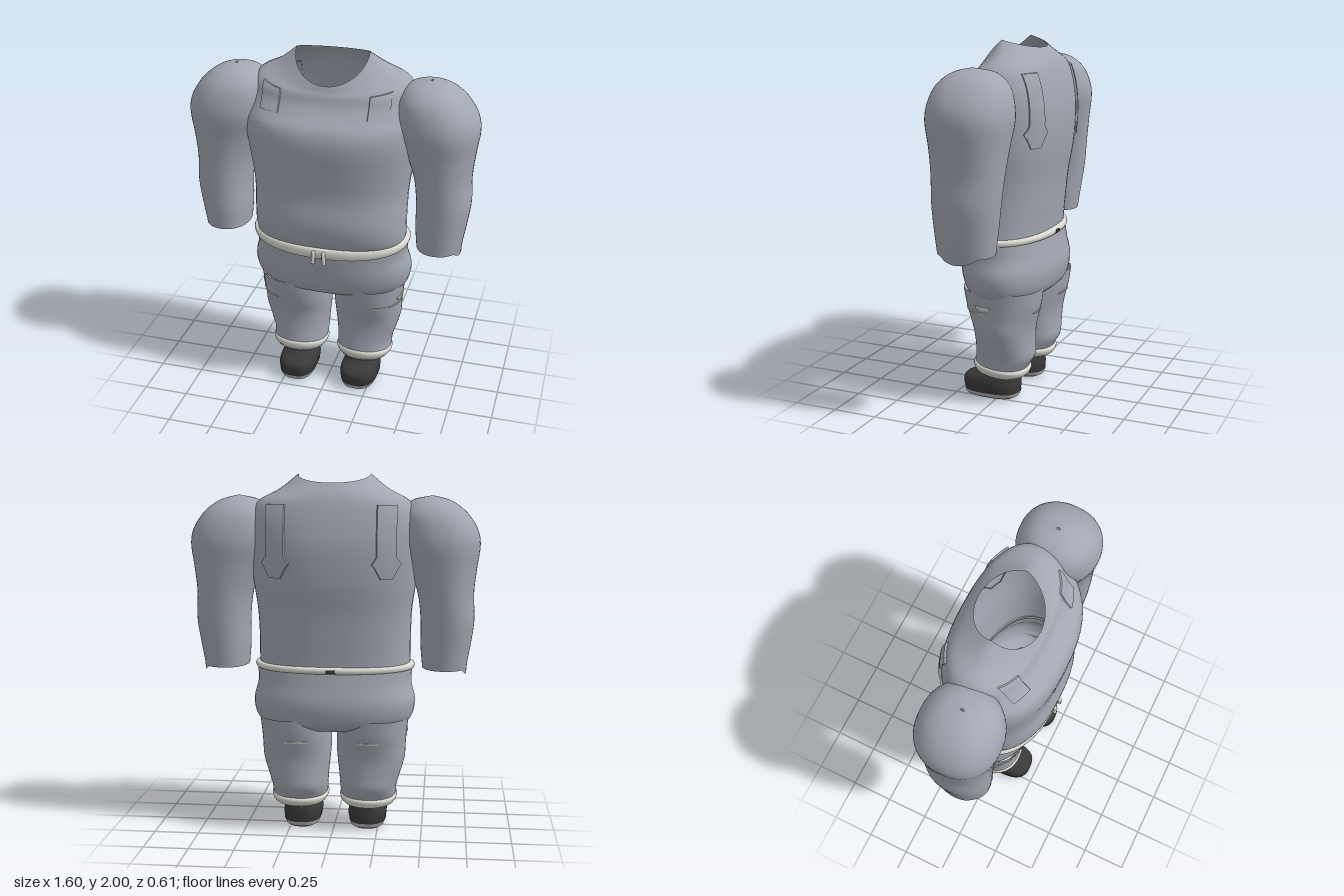
import * as THREE from 'three';
import { toCreasedNormals } from 'three/addons/utils/BufferGeometryUtils.js';

const paint = (name, color) => {
  const m = new THREE.MeshStandardMaterial({ color, side: THREE.DoubleSide });
  m.name = name;
  return m;
};

// Cross-section key: [y, xMin, xMax, zBack, zFront, roundness, frontDrop, backDrop]
const key = (y, x0, x1, z0, z1, n = 2.2, df = 0, db = 0) => [y, x0, x1, z0, z1, n, df, db];
const wide = (y, rx, ...rest) => key(y, -rx, rx, ...rest);
const mirrorKeys = (keys) => keys.map(([y, a, b, ...r]) => [y, -b, -a, ...r]);

// Smoothly interpolated cross-section at height y
function sectionAt(keys, y) {
  let i = 0;
  while (i < keys.length - 2 && y > keys[i + 1][0]) i++;
  const a = keys[i], b = keys[i + 1], p = keys[Math.max(i - 1, 0)], q = keys[Math.min(i + 2, keys.length - 1)];
  const h = b[0] - a[0], t = (y - a[0]) / h, t2 = t * t, t3 = t2 * t;
  return a.map((v, k) => {
    if (k === 0) return y;
    const ma = (b[k] - p[k]) / (b[0] - p[0]) * h, mb = (q[k] - v) / (q[0] - a[0]) * h;
    return (2 * t3 - 3 * t2 + 1) * v + (t3 - 2 * t2 + t) * ma + (3 * t2 - 2 * t3) * b[k] + (t3 - t2) * mb;
  });
}

// Point on the superellipse section at angle th, pushed out by off
function pointOn([y, x0, x1, z0, z1, n, df, db], th, off = 0) {
  const c = Math.cos(th), s = Math.sin(th);
  const pow = (v) => Math.sign(v) * Math.abs(v) ** (2 / n);
  return [
    (x0 + x1) / 2 + (x1 - x0) / 2 * pow(c) + off * c,
    y - (s > 0 ? df : db) * Math.abs(s),
    (z0 + z1) / 2 + (z1 - z0) / 2 * pow(s) + off * s,
  ];
}

function toGeometry(pos, index) {
  const g = new THREE.BufferGeometry();
  g.setAttribute('position', new THREE.Float32BufferAttribute(pos, 3));
  g.setIndex(index);
  g.computeVertexNormals();
  return g;
}

// Skin through stacked cross-sections
function loft(keys, div = 4, seg = 48) {
  const pos = [], index = [], rows = (keys.length - 1) * div;
  for (let i = 0; i <= rows; i++) {
    const k = Math.min(Math.floor(i / div), keys.length - 2);
    const y = keys[k][0] + (keys[k + 1][0] - keys[k][0]) * (i / div - k);
    const s = sectionAt(keys, y);
    for (let j = 0; j < seg; j++) pos.push(...pointOn(s, j / seg * Math.PI * 2));
  }
  for (let i = 0; i < rows; i++) for (let j = 0; j < seg; j++) {
    const a = i * seg + j, b = i * seg + (j + 1) % seg;
    index.push(a, a + seg, b, b, a + seg, b + seg);
  }
  return toGeometry(pos, index);
}

// Raised panel lying on a lofted surface; f(u, v) gives [angle, y]
function panel(keys, f, off = 0.008, nu = 10, nv = 12) {
  const pos = [], index = [];
  for (let i = 0; i <= nv; i++) for (let j = 0; j <= nu; j++) {
    const edge = i === 0 || j === 0 || i === nv || j === nu;
    const u = (Math.min(Math.max(j, 1), nu - 1) - 1) / (nu - 2);
    const v = (Math.min(Math.max(i, 1), nv - 1) - 1) / (nv - 2);
    const [th, y] = f(u, v);
    pos.push(...pointOn(sectionAt(keys, y), th, edge ? -0.006 : off));
    if (i < nv && j < nu) {
      const a = i * (nu + 1) + j, c = a + nu + 1;
      index.push(a, c, a + 1, a + 1, c, c + 1);
    }
  }
  return toCreasedNormals(toGeometry(pos, index), 0.7);
}

// Angle on a section where it reaches a given x
function angleAtX(keys, y, x, back) {
  const s = sectionAt(keys, y), c = x / s[2];
  const th = Math.acos(Math.sign(c) * Math.min(1, Math.abs(c)) ** (s[5] / 2));
  return back ? -th : th;
}

const TORSO = [
  wide(0.925, 0.42, -0.235, 0.25, 2.4), wide(1.0, 0.425, -0.24, 0.285, 2.4),
  wide(1.1, 0.425, -0.25, 0.3, 2.4), wide(1.25, 0.43, -0.265, 0.285, 2.4),
  wide(1.4, 0.45, -0.29, 0.298, 2.4), wide(1.55, 0.47, -0.3, 0.313, 2.4),
  wide(1.64, 0.475, -0.298, 0.295, 2.4), wide(1.71, 0.47, -0.287, 0.24, 2.4, 0.01),
  wide(1.78, 0.455, -0.272, 0.2, 2.4, 0.03), wide(1.86, 0.41, -0.247, 0.18, 2.4, 0.06),
  wide(1.92, 0.3, -0.22, 0.168, 2.2, 0.1, 0.01), wide(2.0, 0.2, -0.18, 0.155, 2, 0.15, 0.045),
];
const HIPS = [
  wide(0.595, 0.36, -0.2, 0.13), wide(0.63, 0.412, -0.25, 0.19), wide(0.68, 0.443, -0.272, 0.22),
  wide(0.76, 0.453, -0.28, 0.24), wide(0.85, 0.432, -0.265, 0.252), wide(0.935, 0.435, -0.25, 0.26),
];
const ARM = [
  key(0.935, 0.49, 0.735, -0.15, 0.16), key(1.05, 0.48, 0.755, -0.165, 0.17),
  key(1.2, 0.478, 0.775, -0.185, 0.178), key(1.35, 0.46, 0.77, -0.2, 0.185),
  key(1.5, 0.41, 0.785, -0.217, 0.2), key(1.62, 0.36, 0.8, -0.232, 0.22),
  key(1.7, 0.35, 0.785, -0.225, 0.215), key(1.78, 0.36, 0.735, -0.2, 0.19),
  key(1.83, 0.39, 0.68, -0.16, 0.15), key(1.865, 0.44, 0.615, -0.1, 0.09),
  key(1.883, 0.53, 0.54, -0.01, 0.01),
];
const LEG = [
  key(0.165, 0.05, 0.34, -0.15, 0.125), key(0.2, 0.04, 0.35, -0.165, 0.135),
  key(0.26, 0.035, 0.355, -0.198, 0.13), key(0.33, 0.03, 0.375, -0.2, 0.125),
  key(0.42, 0.02, 0.4, -0.203, 0.13), key(0.5, 0.015, 0.405, -0.22, 0.155),
  key(0.57, 0.015, 0.41, -0.238, 0.175), key(0.66, 0.01, 0.42, -0.25, 0.19),
];
const SHOE = [
  key(0.03, 0.085, 0.29, -0.108, 0.205, 2.7), key(0.075, 0.077, 0.296, -0.112, 0.215, 2.7),
  key(0.115, 0.085, 0.29, -0.11, 0.205, 2.6), key(0.14, 0.1, 0.28, -0.108, 0.14, 2.4),
  key(0.175, 0.105, 0.272, -0.108, 0.1, 2.2),
];
const SOLE = [
  key(0, 0.185, 0.19, 0.045, 0.055, 2.7), key(0.001, 0.11, 0.265, -0.085, 0.18, 2.7),
  key(0.012, 0.092, 0.282, -0.104, 0.203, 2.7), key(0.036, 0.082, 0.293, -0.112, 0.212, 2.7),
];

export function createModel() {
  const cloth = paint('grey cloth', 0xa3a7b2), trim = paint('cream trim', 0xdadad2);
  const leather = paint('dark leather', 0x393939), rubber = paint('sole grey', 0xb4b4b4);
  const root = new THREE.Group();
  const add = (name, geo, mat) => {
    const m = new THREE.Mesh(geo, mat);
    m.name = name;
    root.add(m);
    return m;
  };

  // Trunk
  add('shirtBody', loft(TORSO), cloth);
  add('trouserSeat', loft(HIPS), cloth);
  add('crotchGusset', new THREE.SphereGeometry(1, 24, 12).scale(0.12, 0.04, 0.2), cloth).position.set(0, 0.625, -0.03);

  // Waistband, dipping and deepening at the front
  const band = loft([
    wide(0.925, 0.425, -0.24, 0.255, 2.2, 0.035), wide(0.93, 0.443, -0.258, 0.278, 2.2, 0.035),
    wide(0.957, 0.445, -0.26, 0.28, 2.2, 0.008), wide(0.965, 0.42, -0.235, 0.25, 2.2, 0.008),
  ], 3);
  add('waistband', band, trim);
  add('beltTag', new THREE.BoxGeometry(0.05, 0.018, 0.008), leather).position.set(0, 0.944, -0.262);
  for (const x of [-0.033, 0.027]) {
    const cord = add('drawstring', new THREE.CapsuleGeometry(0.011, 0.06, 4, 10), trim);
    cord.position.set(x, 0.903, 0.287);
    cord.rotation.z = x * 2;
  }

  for (const side of [1, -1]) {
    const own = (keys) => (side > 0 ? keys : mirrorKeys(keys));
    const turn = (th) => (side > 0 ? th : Math.PI - th);

    // Sleeve with a small pointed tab on the outer hem
    const sleeve = loft(own(ARM));
    const p = sleeve.attributes.position;
    for (let i = 0; i < p.count; i++) {
      const over = Math.abs(p.getX(i)) - 0.71;
      if (p.getY(i) < 0.94 && over > 0) p.setY(i, p.getY(i) - over * 1.4);
    }
    add('sleeve', sleeve, cloth);

    // Shoulder straps, the rear one ending in a flared tab
    add('frontStrap', panel(TORSO, (u, v) => {
      const y = 1.715 + 0.155 * v;
      return [angleAtX(TORSO, y, side * (0.24 + 0.105 * u), false), y];
    }), cloth);
    add('backStrap', panel(TORSO, (u, v) => {
      const y = 1.45 + 0.39 * v;
      const half = v < 0.2 ? 0.03 + 0.2 * v : Math.max(0.05, 0.075 - (v - 0.2) * 0.25);
      return [angleAtX(TORSO, y, side * (0.295 + (2 * u - 1) * half), true), y];
    }, 0.012, 10, 22), cloth);

    // Trouser leg with thin slits in the cloth
    const leg = own(LEG);
    add('trouserLeg', loft(leg), cloth);
    for (const [a, b, y, h] of [[0.1, 1.25, 0.538, 0.008], [0, 0.4, 0.565, 0.018], [-1.9, -1.35, 0.53, 0.008]]) {
      add('legSlit', panel(leg, (u, v) => [turn(a + (b - a) * u), y + h * v], 0.005, 14, 4), trim);
    }

    // Rolled cuff, tilted up at the front
    const cuff = add('cuff', loft(own([
      key(-0.035, 0.06, 0.33, -0.13, 0.12), key(-0.022, 0.045, 0.345, -0.152, 0.145),
      key(0.005, 0.032, 0.358, -0.162, 0.155), key(0.022, 0.04, 0.35, -0.155, 0.148),
      key(0.028, 0.06, 0.33, -0.13, 0.125),
    ]), 3), trim);
    cuff.position.set(0, 0.189, -0.01);
    cuff.rotation.x = -0.13;

    // Shoe with sole and insole
    add('shoe', loft(own(SHOE)), leather);
    add('sole', toCreasedNormals(loft(own(SOLE), 1), 0.6), rubber);
    const insole = add('insole', new THREE.CircleGeometry(1, 32).rotateX(-Math.PI / 2), trim);
    insole.scale.set(0.095, 1, 0.13);
    insole.position.set(side * 0.188, 0.07, 0.03);
  }
  return root;
}
